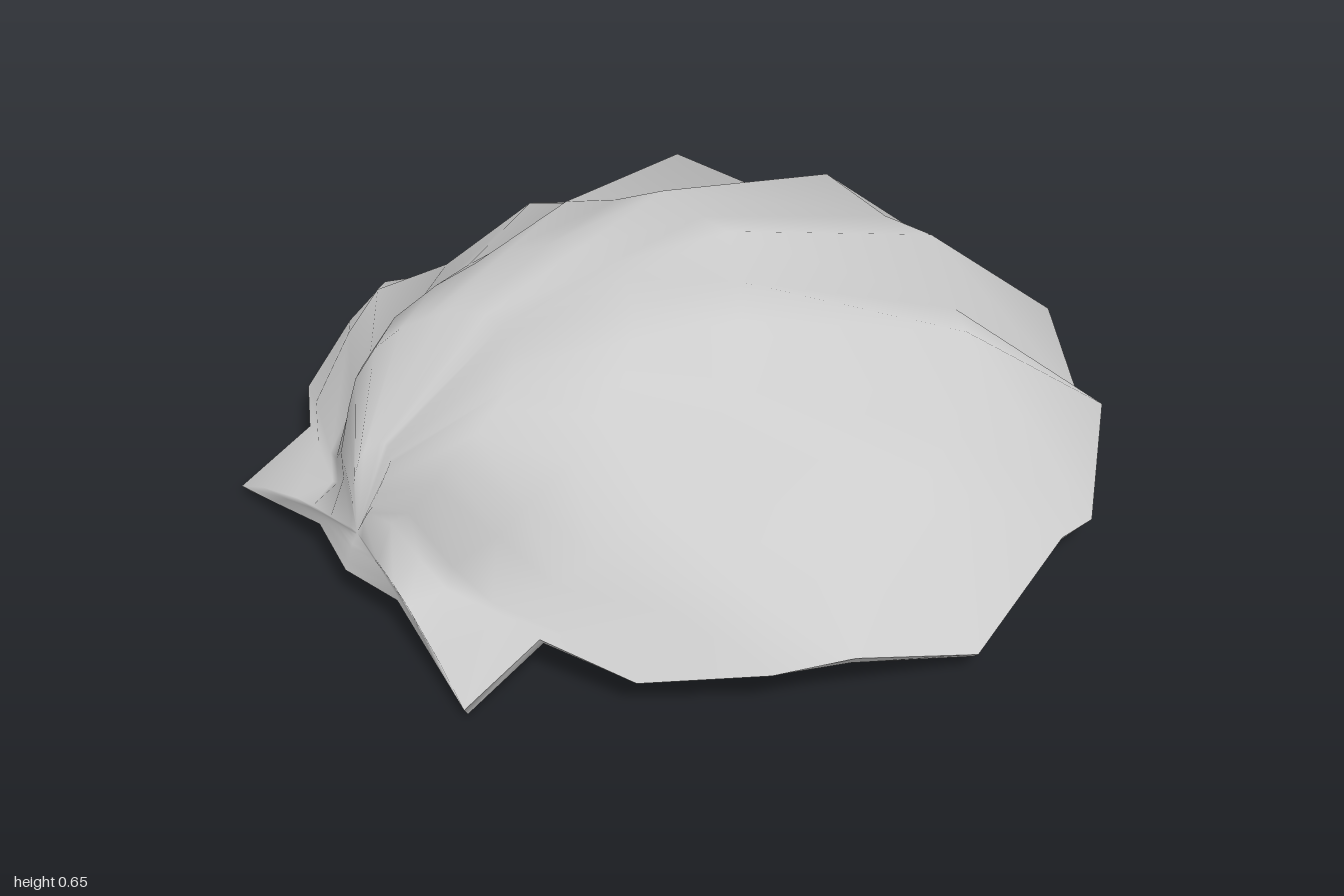
import * as THREE from 'three';

// Fan shell: ribs run from the beak to the scalloped rim.
const BEAK = [0, 0.165, 0.885];
const RINGS = [0.05, 0.21, 0.36, 0.5, 0.8, 1];
const THICKNESS = 0.026;

// Half of the ribs, back to front: rim x, rim z, then the height on each ring.
const RIBS = [
  [0, -0.94, 0.35, 0.54, 0.60, 0.64, 0.47, 0.11],
  [0.24, -0.91, 0.35, 0.55, 0.61, 0.66, 0.51, 0.21],
  [0.47, -0.80, 0.35, 0.54, 0.59, 0.605, 0.43, 0.11],
  [0.67, -0.66, 0.34, 0.53, 0.565, 0.58, 0.485, 0.25],
  [0.82, -0.50, 0.335, 0.51, 0.525, 0.48, 0.335, 0.085],
  [0.94, -0.28, 0.325, 0.49, 0.475, 0.415, 0.35, 0.20],
  [1.0, 0.0, 0.305, 0.455, 0.415, 0.325, 0.225, 0.06],
  [0.94, 0.28, 0.275, 0.405, 0.335, 0.25, 0.25, 0.145],
  [0.86, 0.43, 0.25, 0.35, 0.265, 0.18, 0.20, 0.12],
  [0.69, 0.64, 0.23, 0.275, 0.185, 0.135, 0.135, 0.09],
  // ear beside the hinge
  [0.49, 0.74, 0.21, 0.235, 0.175, 0.13, 0.135, 0.12],
  [0.49, 0.925, 0.165, 0.15, 0.14, 0.125, 0.075, 0.027],
  [0.36, 0.91, 0.16, 0.15, 0.14, 0.13, 0.095, 0.05],
  [0.17, 0.89, 0.16, 0.15, 0.14, 0.135, 0.115, 0.09],
  [0, 0.92, 0.16, 0.15, 0.14, 0.13, 0.10, 0.08],
];

function surface(points, index) {
  const geometry = new THREE.BufferGeometry();
  geometry.setAttribute('position', new THREE.Float32BufferAttribute(points, 3));
  geometry.setIndex(index);
  geometry.computeVertexNormals();
  return geometry;
}

export function createModel() {
  const group = new THREE.Group();
  group.name = 'shell';
  const material = new THREE.MeshStandardMaterial({ color: 0xcccccc, side: THREE.DoubleSide });

  // Mirror the ribs into a closed loop
  const mirrored = RIBS.slice(1, -1).reverse().map(([x, ...rest]) => [-x, ...rest]);
  const ribs = [...RIBS, ...mirrored];
  const n = ribs.length;
  const m = RINGS.length;
  const at = (i, j) => 1 + (i % n) * m + j;

  const points = [...BEAK];
  for (const [x, z, ...heights] of ribs) {
    RINGS.forEach((t, j) => {
      points.push(x * t, heights[j], THREE.MathUtils.lerp(BEAK[2], z, t));
    });
  }
  const index = [];
  for (let i = 0; i < n; i++) {
    index.push(0, at(i + 1, 0), at(i, 0));
    for (let j = 0; j < m - 1; j++) {
      const a = at(i, j), b = at(i + 1, j), c = at(i + 1, j + 1), d = at(i, j + 1);
      index.push(a, b, c, a, c, d);
    }
  }
  const outer = surface(points, index);

  // Inner skin: the outer skin moved inward along its normals
  const normals = outer.attributes.normal.array;
  const innerPoints = points.map((p, k) => p - normals[k] * THICKNESS);
  const inner = surface(innerPoints, index.slice().reverse());

  // Rim wall joining both skins
  const rimPoints = [];
  const rimIndex = [];
  for (let i = 0; i < n; i++) {
    const k = at(i, m - 1) * 3;
    rimPoints.push(...points.slice(k, k + 3), ...innerPoints.slice(k, k + 3));
    const a = i * 2, b = ((i + 1) % n) * 2;
    rimIndex.push(a, b, b + 1, a, b + 1, a + 1);
  }
  const rim = surface(rimPoints, rimIndex);

  const parts = { outerShell: outer, innerShell: inner, rim };
  for (const [name, geometry] of Object.entries(parts)) {
    const mesh = new THREE.Mesh(geometry, material);
    mesh.name = name;
    group.add(mesh);
  }
  return group;
}
